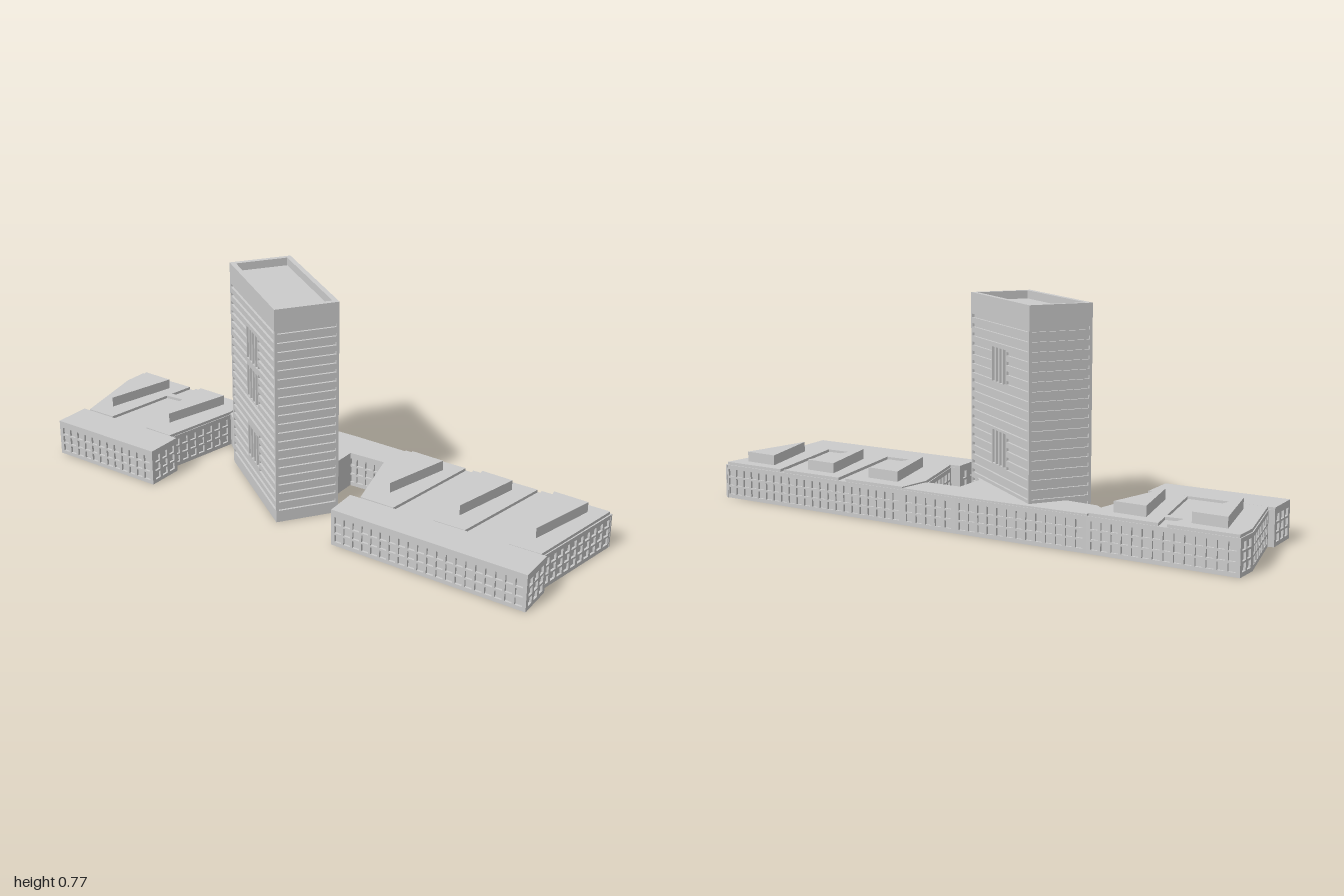
import * as THREE from 'three';

const material = new THREE.MeshStandardMaterial({ color: 0xcccccc, flatShading: true });
const SKIN = 0.008; // depth of the window recesses

function add(parent, name, geometry) {
  const mesh = new THREE.Mesh(geometry, material);
  mesh.name = name;
  parent.add(mesh);
  return mesh;
}

// Vertical prism over a plan outline of [x, z] points, optionally with a hole
function prism(plan, y0, y1, hole) {
  const toPoints = (pts) => pts.map(([x, z]) => new THREE.Vector2(x, -z));
  const shape = new THREE.Shape(toPoints(plan));
  if (hole) shape.holes.push(new THREE.Path(toPoints(hole)));
  return new THREE.ExtrudeGeometry(shape, { depth: y1 - y0, bevelEnabled: false })
    .rotateX(-Math.PI / 2).translate(0, y0, 0);
}

// Plan outline moved inwards by d, with mitred corners
function inset(plan, d) {
  const n = plan.length;
  const normal = (a, b) => {
    const dx = b[0] - a[0], dz = b[1] - a[1], l = Math.hypot(dx, dz);
    return [dz / l, -dx / l];
  };
  return plan.map((p, i) => {
    const a = normal(plan[(i + n - 1) % n], p), b = normal(p, plan[(i + 1) % n]);
    const k = d / (1 + a[0] * b[0] + a[1] * b[1]);
    return [p[0] + (a[0] + b[0]) * k, p[1] + (a[1] + b[1]) * k];
  });
}

// Wall panel from p to q; openings are [u0, y0, u1, y1] with u measured from p
function wall(parent, name, p, q, height, openings) {
  const rect = (Type, u0, y0, u1, y1) =>
    new Type([[u0, y0], [u1, y0], [u1, y1], [u0, y1]].map((c) => new THREE.Vector2(...c)));
  const dx = q[0] - p[0], dz = q[1] - p[1];
  const shape = rect(THREE.Shape, 0, 0, Math.hypot(dx, dz), height);
  shape.holes = openings.map((o) => rect(THREE.Path, ...o));
  const geometry = new THREE.ExtrudeGeometry(shape, { depth: SKIN, bevelEnabled: false });
  const mesh = add(parent, name, geometry.translate(0, 0, -SKIN));
  mesh.position.set(p[0], 0, p[1]);
  mesh.rotation.y = Math.atan2(-dz, dx);
}

// Three storeys of square windows
function podiumWindows(length) {
  const openings = [];
  const count = Math.floor((length - 0.018) / 0.0345);
  if (count < 1) return openings;
  const pitch = (length - 0.018) / count;
  for (const [y0, y1] of [[0.014, 0.04], [0.047, 0.073], [0.08, 0.106]]) {
    for (let i = 0; i < count; i++) {
      const u = 0.009 + (i + 0.5) * pitch;
      openings.push([u - 0.013, y0, u + 0.013, y1]);
    }
  }
  return openings;
}

// Ribbon windows, interrupted by groups of upright slots at the given heights
function towerWindows(length, clusters) {
  const openings = [], mid = length / 2, m = 0.0095;
  for (let i = 0; i < 21; i++) {
    const y = 0.686 - i * 0.0319, y0 = y - 0.006, y1 = y + 0.006;
    if (clusters.some((c) => Math.abs(c - y) < 0.065)) {
      openings.push([m, y0, mid - 0.063, y1], [mid + 0.063, y0, length - m, y1]);
    } else {
      openings.push([m, y0, length - m, y1]);
    }
  }
  for (const c of clusters) {
    for (let i = 0; i < 4; i++) {
      const u = mid + (i - 1.5) * 0.031;
      openings.push([u - 0.011, c - 0.058, u + 0.011, c + 0.058]);
    }
  }
  return openings;
}

function buildPodium() {
  const podium = new THREE.Group();
  podium.name = 'podium';
  const H = 0.121;
  const outline = [
    [0.29, 0.998], [0.265, 0.215], [0.26, 0], [0.235, -0.485], [0.22, -1], [0.13, -1],
    [-0.155, -0.925], [-0.16, -0.945], [-0.293, -0.94], [-0.28, -0.495], [-0.145, -0.5],
    [-0.145, -0.53], [0.14, -0.485], [0.115, -0.455], [0.11, -0.34], [0.145, 0.2],
    [-0.12, 0.285], [-0.125, 0.25], [-0.245, 0.26], [-0.225, 0.975], [-0.09, 0.965], [-0.09, 0.95],
  ];
  add(podium, 'podiumCore', prism(inset(outline, SKIN), 0, H));
  outline.forEach((p, i) => {
    const q = outline[(i + 1) % outline.length];
    wall(podium, 'podiumWall', p, q, H, podiumWindows(Math.hypot(q[0] - p[0], q[1] - p[1])));
  });

  // Flat roofs of the two west wings
  add(podium, 'southWingRoof', prism(
    [[-0.225, 0.975], [-0.09, 0.965], [-0.125, 0.25], [-0.245, 0.26]], H, 0.13));
  add(podium, 'northWingRoof', prism(
    [[-0.293, -0.94], [-0.16, -0.945], [-0.145, -0.5], [-0.28, -0.495]], H, 0.13));

  // Raised roofs that widen towards the east, with narrow gaps between them
  const fingers = [
    [[-0.118, 0.287], [0.145, 0.203], [0.262, 0.215], [0.27, 0.455], [-0.115, 0.415]],
    [[-0.108, 0.565], [0.27, 0.485], [0.278, 0.73], [-0.103, 0.68]],
    [[-0.096, 0.835], [0.278, 0.745], [0.285, 0.992], [-0.09, 0.946]],
    [[-0.155, -0.922], [0.13, -0.996], [0.217, -0.996], [0.225, -0.76], [-0.15, -0.81]],
    [[-0.145, -0.645], [0.225, -0.73], [0.232, -0.49], [0.14, -0.488], [-0.145, -0.533]],
  ];
  for (const f of fingers) add(podium, 'fingerRoof', prism(f, H, 0.131));
  add(podium, 'roofLink', prism(
    [[0.11, -0.78], [0.135, -0.78], [0.145, -0.7], [0.12, -0.7]], H, 0.131));
  add(podium, 'connectorRoof', prism(
    [[0.14, -0.485], [0.233, -0.485], [0.258, 0], [0.262, 0.215], [0.145, 0.2],
      [0.11, -0.34], [0.115, -0.455]], H, 0.127));

  // Wedge-shaped skylights: tip x, tip z, end x, end z from, end z to
  const skylights = [
    [-0.035, 0.348, 0.21, 0.275, 0.4], [-0.03, 0.615, 0.225, 0.545, 0.662],
    [-0.015, 0.885, 0.238, 0.81, 0.935], [-0.085, -0.87, 0.17, -0.935, -0.815],
    [-0.065, -0.605, 0.18, -0.665, -0.55],
  ];
  for (const [tx, tz, x, z0, z1] of skylights) {
    add(podium, 'skylight', prism([[tx, tz], [x, z0], [x, z1]], 0.13, 0.167));
  }

  // Low link between the tower and the connector
  add(podium, 'towerLink', prism(
    [[0.15, 0.065], [0.015, 0.07], [-0.015, 0.1], [0.1, -0.15], [0.13, -0.15]], 0, 0.127));
  return podium;
}

function buildTower() {
  const tower = new THREE.Group();
  tower.name = 'tower';
  const H = 0.766, L = 0.491, W = 0.222;
  const plan = [[-L / 2, W / 2], [L / 2, W / 2], [L / 2, -W / 2], [-L / 2, -W / 2]];
  const core = inset(plan, SKIN);
  add(tower, 'towerCore', prism(core, 0, 0.738));
  add(tower, 'parapet', prism(core, 0.738, H, inset(plan, 0.018)));
  const clusters = [[0.543, 0.263], [], [0.543, 0.403, 0.175], []];
  plan.forEach((p, i) => {
    wall(tower, 'towerWall', p, plan[(i + 1) % 4], H, towerWindows(i % 2 ? W : L, clusters[i]));
  });
  tower.position.set(-0.007, 0, -0.119);
  tower.rotation.y = 0.985;
  return tower;
}

export function createModel() {
  const model = new THREE.Group();
  model.name = 'officeComplex';
  model.add(buildPodium(), buildTower());
  return model;
}
